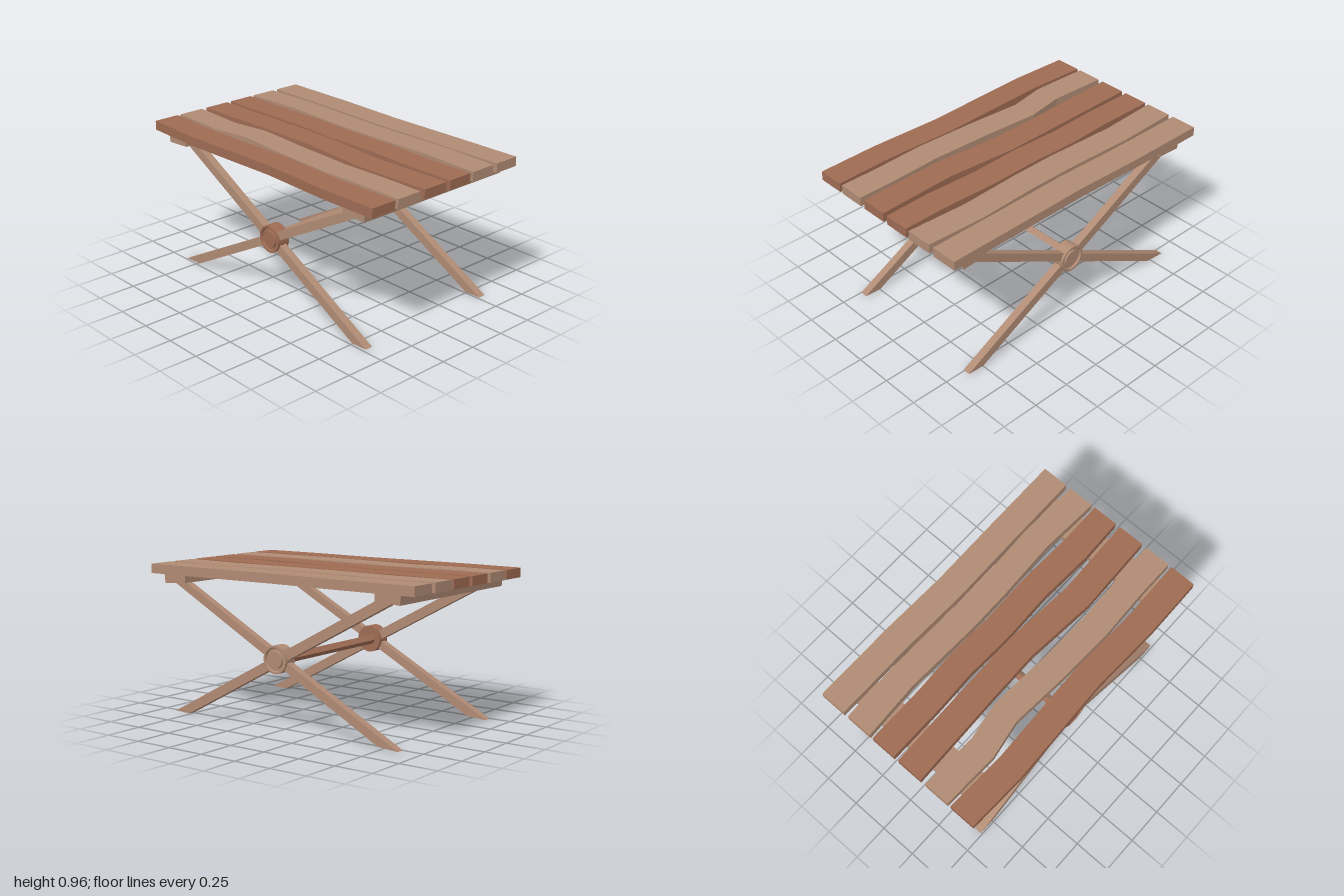
import * as THREE from 'three';

const lightWood = new THREE.MeshStandardMaterial({ name: 'lightWood', color: 0xb08b74 });
const redWood = new THREE.MeshStandardMaterial({ name: 'redWood', color: 0x9e6b53 });

// Solid made by extruding an outline along z, from z0 to z1
function prism(points, z0, z1) {
  const shape = new THREE.Shape(points.map(([x, y]) => new THREE.Vector2(x, y)));
  return new THREE.ExtrudeGeometry(shape, { depth: z1 - z0, bevelEnabled: false }).translate(0, 0, z0);
}

// Wavy boards: back edge and front edge as [x, z] points
const planks = [
  { mat: lightWood,
    back: [[-1, -0.61], [-0.45, -0.61], [0, -0.597], [0.5, -0.605], [1, -0.61]],
    front: [[-1, -0.435], [-0.45, -0.435], [0, -0.422], [0.5, -0.43], [1, -0.435]] },
  { mat: lightWood,
    back: [[-1, -0.4], [-0.6, -0.415], [-0.1, -0.4], [0.2, -0.4], [0.6, -0.417], [1, -0.4]],
    front: [[-1, -0.225], [-0.6, -0.245], [-0.1, -0.225], [0.2, -0.228], [0.6, -0.245], [1, -0.225]] },
  { mat: redWood,
    back: [[-1, -0.2], [-0.6, -0.2], [-0.33, -0.213], [0, -0.203], [0.35, -0.21], [0.7, -0.195], [1, -0.2]],
    front: [[-1, -0.03], [-0.6, -0.03], [-0.33, -0.04], [0, -0.027], [0.35, -0.037], [0.7, -0.02], [1, -0.03]] },
  { mat: redWood,
    back: [[-1, 0.003], [-0.35, -0.01], [0, -0.015], [0.47, 0.023], [1, 0.003]],
    front: [[-1, 0.18], [-0.35, 0.162], [0, 0.157], [0.47, 0.198], [1, 0.18]] },
  { mat: lightWood,
    back: [[-1, 0.215], [-0.62, 0.232], [-0.37, 0.19], [0, 0.215], [0.4, 0.23], [0.75, 0.215], [1, 0.215]],
    front: [[-1, 0.39], [-0.62, 0.403], [-0.37, 0.36], [0, 0.387], [0.4, 0.403], [0.75, 0.39], [1, 0.39]] },
  { mat: redWood,
    back: [[-1, 0.413], [-0.6, 0.43], [0.12, 0.405], [0.6, 0.423], [1, 0.413]],
    front: [[-1, 0.588], [-0.6, 0.603], [0.12, 0.577], [0.6, 0.595], [1, 0.588]] },
];

// Leg outlines, corner to corner, in the front plane
const legs = {
  risingLeg: [[-0.86, 0], [-0.72, 0.01], [0.86, 0.85], [0.74, 0.845]],
  fallingLeg: [[-0.83, 0.85], [0.75, 0.005], [0.865, 0.01], [-0.71, 0.855]],
};

// Round hub with a ring groove on its outer (+z) face
function hubGeometry() {
  const profile = [[0, -0.0425], [0.087, -0.0425], [0.087, 0.0425], [0.075, 0.0425],
    [0.07, 0.03], [0.055, 0.03], [0.052, 0.04], [0, 0.04]];
  // Each profile edge is doubled so that the corners stay sharp
  const points = profile.flatMap(([r, y], i) => {
    const p = new THREE.Vector2(r, y);
    return i === 0 || i === profile.length - 1 ? [p] : [p, p.clone()];
  });
  const flat = new THREE.LatheGeometry(points, 32).toNonIndexed();
  flat.computeVertexNormals();
  return flat.rotateX(Math.PI / 2);
}

export function createModel() {
  const model = new THREE.Group();
  model.name = 'picnicTable';
  const add = (name, geometry, material) => {
    const mesh = new THREE.Mesh(geometry, material);
    mesh.name = name;
    model.add(mesh);
    return mesh;
  };

  // Table top
  planks.forEach(({ mat, back, front }, i) => {
    const outline = [...back, ...[...front].reverse()].map(([x, z]) => [x, -z]);
    add(`plank${i + 1}`, prism(outline, 0.9, 0.96).rotateX(-Math.PI / 2), mat);
  });

  // Battens under the top
  add('battenRight', prism([[-0.885, 0.84], [-0.715, 0.85], [-0.715, 0.9], [-0.892, 0.9]], -0.58, 0.56), lightWood);
  add('battenLeft', prism([[0.738, 0.85], [0.908, 0.84], [0.915, 0.9], [0.738, 0.9]], -0.58, 0.56), lightWood);

  // Crossed legs and hubs at both ends
  const ends = [
    { end: 'Front', z0: 0.44, z1: 0.49, hubZ: 0.4625, turn: 0, mat: redWood },
    { end: 'Back', z0: -0.55, z1: -0.5, hubZ: -0.5225, turn: Math.PI, mat: lightWood },
  ];
  for (const { end, z0, z1, hubZ, turn, mat } of ends) {
    for (const [name, outline] of Object.entries(legs)) {
      add(name + end, prism(outline, z0, z1), lightWood);
    }
    const hub = add('hub' + end, hubGeometry(), mat);
    hub.position.set(0.025, 0.435, hubZ);
    hub.rotation.y = turn;
  }

  // Diamond-section stretcher between the hubs, in two halves
  add('stretcherLeft', prism([[0, 0.405], [0.03, 0.435], [0, 0.465]], -0.49, 0.43), lightWood);
  add('stretcherRight', prism([[0, 0.405], [0, 0.465], [-0.03, 0.435]], -0.49, 0.43), redWood);

  return model;
}
